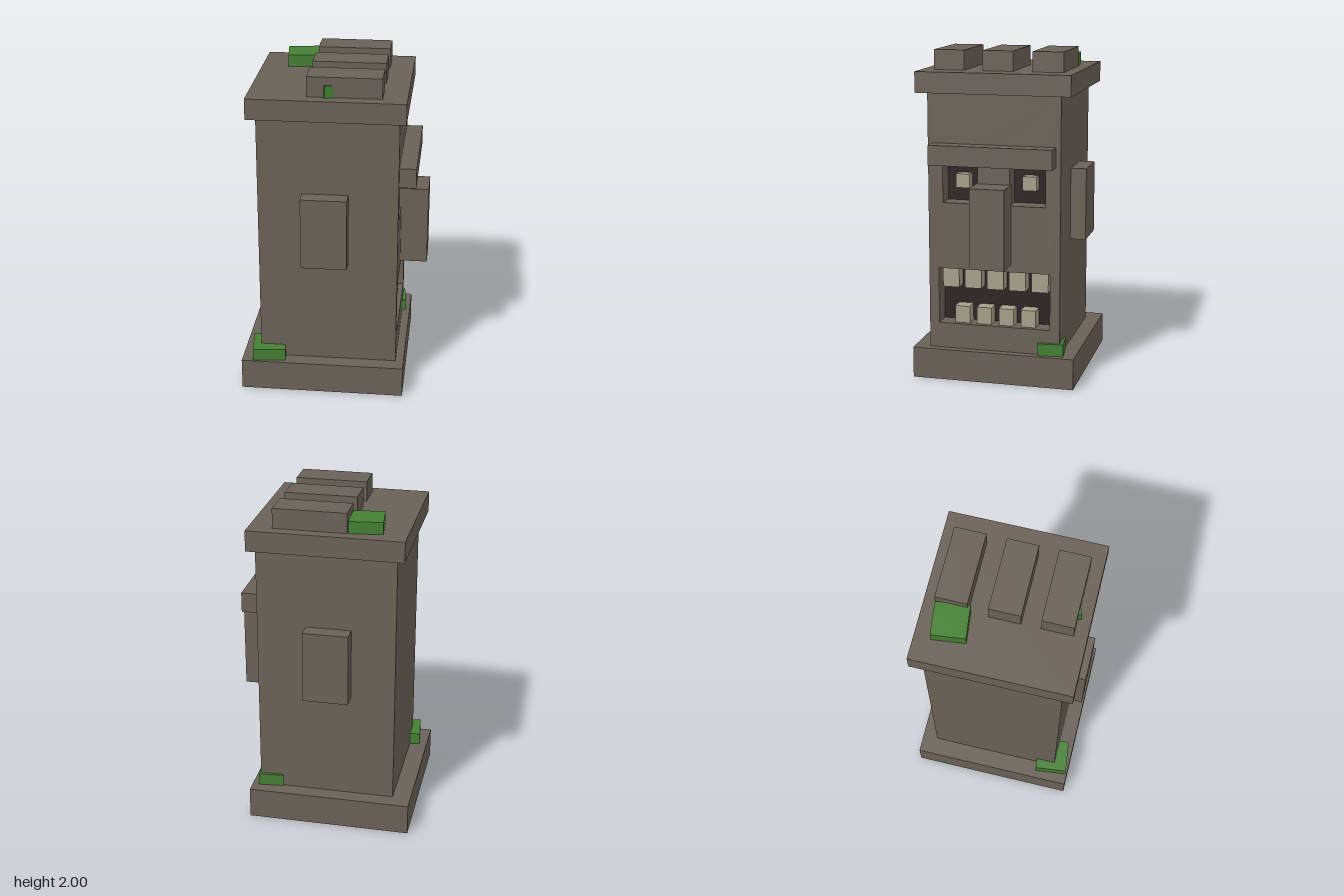
import * as THREE from 'three';

const stone = new THREE.MeshStandardMaterial({ color: 0x696157, side: THREE.DoubleSide });
stone.name = 'stone';
const moss = new THREE.MeshStandardMaterial({ color: 0x458033, side: THREE.DoubleSide });
moss.name = 'moss';
const hollow = new THREE.MeshStandardMaterial({ color: 0x2b2122 });
hollow.name = 'dark hollow';
const bone = new THREE.MeshStandardMaterial({ color: 0xa69f8b });
bone.name = 'bone';

// Box given by its extents along each axis
function box(parent, name, mat, [x0, x1], [y0, y1], [z0, z1]) {
  const mesh = new THREE.Mesh(new THREE.BoxGeometry(x1 - x0, y1 - y0, z1 - z0), mat);
  mesh.position.set((x0 + x1) / 2, (y0 + y1) / 2, (z0 + z1) / 2);
  mesh.name = name;
  parent.add(mesh);
  return mesh;
}

// Remove the underside of a box (face group 3 is -y)
function openBottom(mesh) {
  const g = mesh.geometry;
  const index = Array.from(g.index.array);
  index.splice(18, 6);
  g.setIndex(index);
  g.clearGroups();
  return mesh;
}

const rect = (C, x0, x1, y0, y1) => {
  const p = new C();
  p.moveTo(x0, y0);
  p.lineTo(x1, y0);
  p.lineTo(x1, y1);
  p.lineTo(x0, y1);
  p.closePath();
  return p;
};

export function createModel() {
  const group = new THREE.Group();
  group.name = 'stoneHeadTower';
  const FACE = 0.39, BACK = 0.27; // face plane and floor of the recesses

  // Plinth, trunk and cap
  openBottom(box(group, 'plinth', stone, [-0.555, 0.44], [0, 0.19], [-0.5, 0.5]));
  box(group, 'trunk', stone, [-0.445, BACK], [0.19, 1.755], [-0.405, 0.405]);
  box(group, 'cap', stone, [-0.495, 0.43], [1.755, 1.88], [-0.47, 0.47]);

  // Face wall with openings for the eyes and mouth
  const wall = rect(THREE.Shape, -0.405, 0.405, 0.19, 1.755);
  wall.holes.push(
    rect(THREE.Path, -0.315, -0.098, 1.095, 1.335),
    rect(THREE.Path, 0.098, 0.315, 1.095, 1.335),
    rect(THREE.Path, -0.345, 0.345, 0.345, 0.69));
  const faceWall = new THREE.Mesh(
    new THREE.ExtrudeGeometry(wall, { depth: FACE - BACK, bevelEnabled: false }), stone);
  faceWall.rotation.y = Math.PI / 2;
  faceWall.position.x = BACK;
  faceWall.name = 'faceWall';
  group.add(faceWall);

  // Dark linings, eyes and ears on both sides
  box(group, 'mouthLining', hollow, [BACK, BACK + 0.006], [0.345, 0.69], [-0.345, 0.345]);
  for (const s of [-1, 1]) {
    const side = s > 0 ? 'positive' : 'negative';
    const span = (a, b) => (s > 0 ? [a, b] : [-b, -a]);
    box(group, side + 'EyeLining', hollow, [BACK, BACK + 0.006], [1.095, 1.335], span(0.098, 0.315));
    box(group, side + 'Eye', bone, [BACK, 0.335], [1.18, 1.265], span(0.163, 0.248));
    box(group, side + 'Ear', stone, [-0.18, 0.095], [0.845, 1.285], span(0.4, 0.5));
  }

  // Brow and nose
  box(group, 'brow', stone, [FACE - 0.01, 0.49], [1.335, 1.455], [-0.375, 0.375]);
  box(group, 'nose', stone, [FACE - 0.01, 0.555], [0.735, 1.22], [-0.105, 0.105]);

  // Teeth
  for (const z of [-0.277, -0.138, 0, 0.138, 0.277])
    box(group, 'upperTooth', bone, [BACK, 0.36], [0.567, 0.69], [z - 0.051, z + 0.051]);
  for (const z of [-0.206, -0.069, 0.069, 0.206])
    box(group, 'lowerTooth', bone, [BACK, 0.36], [0.345, 0.45], [z - 0.046, z + 0.046]);

  // Roof blocks
  for (const z of [-0.303, 0, 0.3])
    box(group, 'roofBlock', stone, [-0.15, 0.287], [1.88, 2], [z - 0.093, z + 0.093]);

  // Moss clumps: x, z, top height, size, turn
  for (const [x, z, top, size, turn] of [
    [-0.244, -0.284, 1.952, 0.2, 0.117],
    [0.001, 0.312, 1.952, 0.155, 0.38],
    [-0.397, 0.379, 0.264, 0.2, 0.117],
    [0.33, -0.345, 0.264, 0.155, 0.1],
  ]) {
    const h = size / 2;
    const clump = openBottom(
      box(group, 'mossClump', moss, [x - h, x + h], [top - 0.085, top], [z - h, z + h]));
    clump.rotation.y = turn;
  }
  return group;
}
